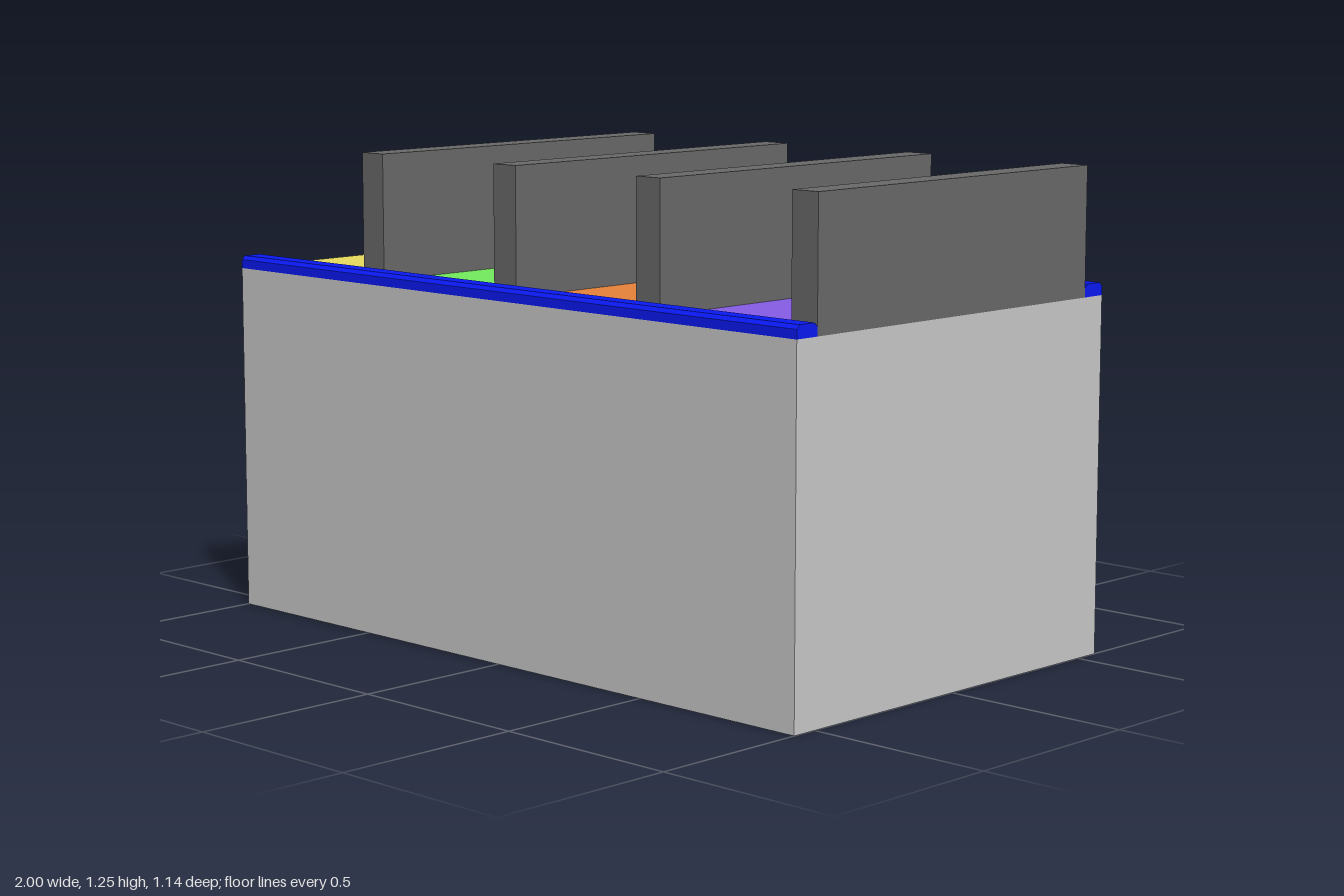
import * as THREE from 'three';

const TOP = 0.92;      // top of the main block
const HALF_Z = 0.57;   // half depth of the block
const INNER_Z = 0.5;   // half depth between the rails

const mat = (color) => new THREE.MeshStandardMaterial({ color, flatShading: true });

function addBox(parent, name, material, size, center) {
  const mesh = new THREE.Mesh(new THREE.BoxGeometry(...size), material);
  mesh.position.set(...center);
  mesh.name = name;
  parent.add(mesh);
}

export function createModel() {
  const group = new THREE.Group();
  const grey = mat(0xcccccc), dark = mat(0x6a6a6a), blue = mat(0x0a19f5);

  // Main block
  addBox(group, 'block', grey, [2, TOP, HALF_Z * 2], [0, TOP / 2, 0]);

  // Four bays, each a coloured floor followed by a dark divider
  const floors = [0xe8dc5d, 0x74ec5d, 0xe8823a, 0x885de8];
  floors.forEach((color, i) => {
    const x = -1 + i * 0.5;
    addBox(group, 'bayFloor' + (i + 1), mat(color),
      [0.42, 0.004, INNER_Z * 2], [x + 0.21, TOP, 0]);
    addBox(group, 'divider' + (i + 1), dark,
      [0.08, 0.33, INNER_Z * 2], [x + 0.46, TOP + 0.165, 0]);
  });

  // Chamfered rails along the front and back, cross-section extruded along x
  const w = HALF_Z - INNER_Z, h = 0.033, c = 0.01;
  const profile = new THREE.Shape([
    [0, 0], [w, 0], [w, h - c], [w - c, h], [c, h], [0, h - c],
  ].map(([a, b]) => new THREE.Vector2(a, b)));
  const railGeometry = new THREE.ExtrudeGeometry(profile, { depth: 2, bevelEnabled: false });
  railGeometry.rotateY(Math.PI / 2);

  for (const side of [1, -1]) {
    const rail = new THREE.Mesh(railGeometry, blue);
    rail.name = side > 0 ? 'frontRail' : 'backRail';
    rail.position.set(-1, TOP, side > 0 ? HALF_Z : -INNER_Z);
    group.add(rail);
    // Grey lining on the inner face of the rail
    addBox(group, side > 0 ? 'frontRailLining' : 'backRailLining', grey,
      [1.998, h - c, 0.002], [0, TOP + (h - c) / 2, side * INNER_Z]);
  }
  return group;
}
